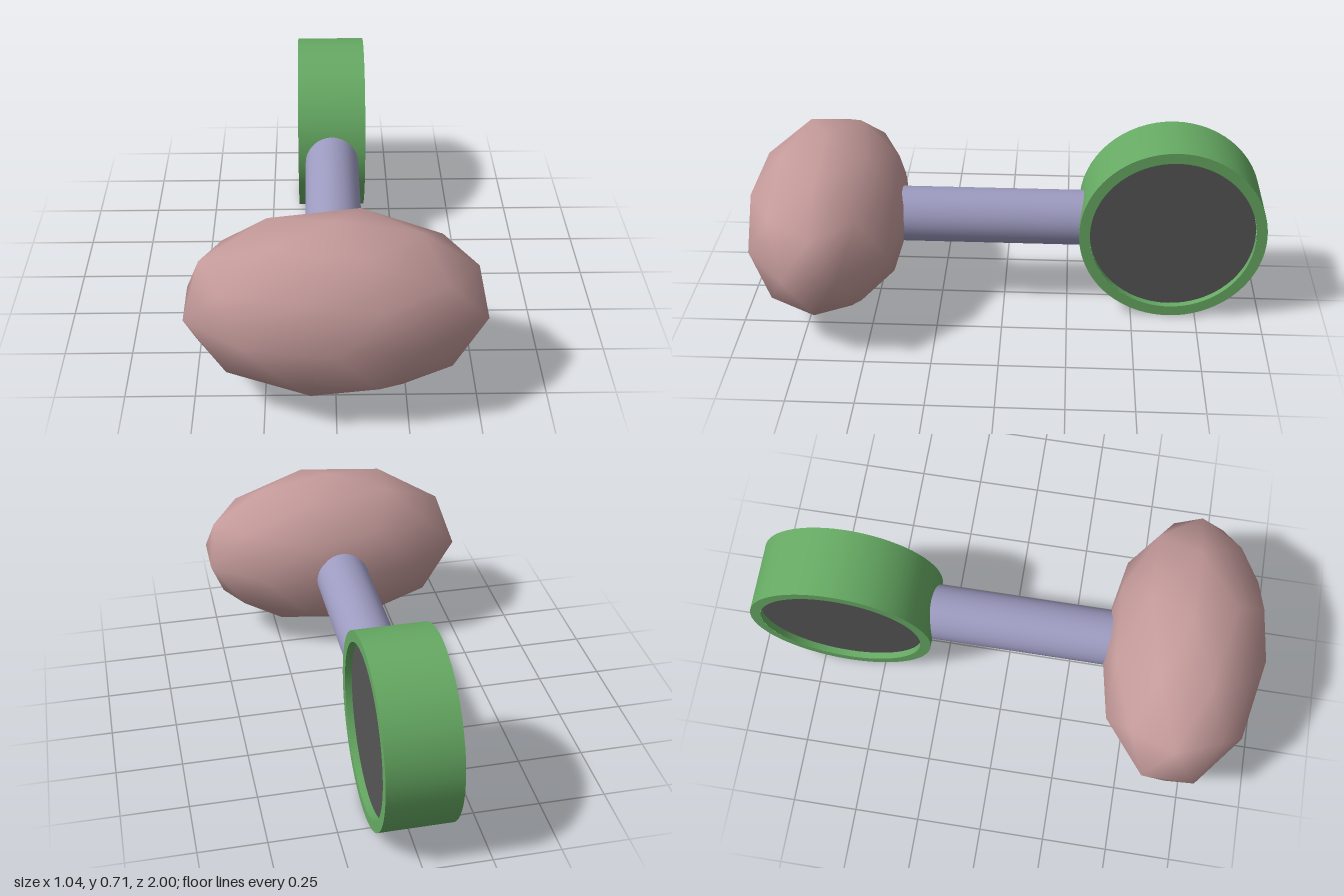
import * as THREE from 'three';

const AXIS_Y = 0.355; // shared height of every part

function addMesh(group, name, geometry, color) {
  const material = new THREE.MeshStandardMaterial({ color });
  const mesh = new THREE.Mesh(geometry, material);
  mesh.name = name;
  group.add(mesh);
  return mesh;
}

export function createModel() {
  const model = new THREE.Group();
  model.name = 'wheelAndHead';

  // Head: faceted outline with smooth shading, one vertex pointing straight up
  const head = new THREE.IcosahedronGeometry(1, 1);
  head.rotateX(-Math.atan((1 + Math.sqrt(5)) / 2));
  head.rotateY(Math.PI / 2);
  head.scale(0.549, 0.334, 0.32);
  addMesh(model, 'head', head, 0xc49a9a).position.set(0, AXIS_Y, 0.68);

  // Rod joining the head to the wheel
  const rodFront = 0.45, rodBack = -0.32;
  const rod = new THREE.CylinderGeometry(0.107, 0.107, rodFront - rodBack, 32);
  rod.rotateX(Math.PI / 2);
  addMesh(model, 'rod', rod, 0x9c9abf).position.set(0, AXIS_Y, (rodFront + rodBack) / 2);

  // Wheel: a hollow rim around a slightly recessed disc, axle along x
  const wheel = new THREE.Group();
  wheel.name = 'wheel';
  wheel.position.set(0, AXIS_Y, -0.645);
  wheel.rotation.z = Math.PI / 2;
  model.add(wheel);

  const outer = 0.355, inner = 0.314, half = 0.136;
  const shape = new THREE.Shape().absarc(0, 0, outer, 0, Math.PI * 2);
  shape.holes.push(new THREE.Path().absarc(0, 0, inner, 0, Math.PI * 2, true));
  const ends = new THREE.ShapeGeometry(shape, 64);
  ends.rotateX(-Math.PI / 2);
  const rim = new THREE.Group();
  rim.name = 'rim';
  wheel.add(rim);
  const green = 0x66aa63;
  addMesh(rim, 'tread', new THREE.CylinderGeometry(outer, outer, half * 2, 64, 1, true), green);
  const wall = addMesh(rim, 'innerWall',
    new THREE.CylinderGeometry(inner, inner, half * 2, 64, 1, true), green);
  wall.material.side = THREE.BackSide;
  for (const side of [1, -1]) {
    const face = addMesh(rim, side > 0 ? 'leftRimFace' : 'rightRimFace', ends, green);
    face.position.y = side * half;
    if (side < 0) face.rotation.x = Math.PI;
  }

  addMesh(wheel, 'disc', new THREE.CylinderGeometry(inner, inner, 0.22, 64), 0x555555);

  return model;
}
